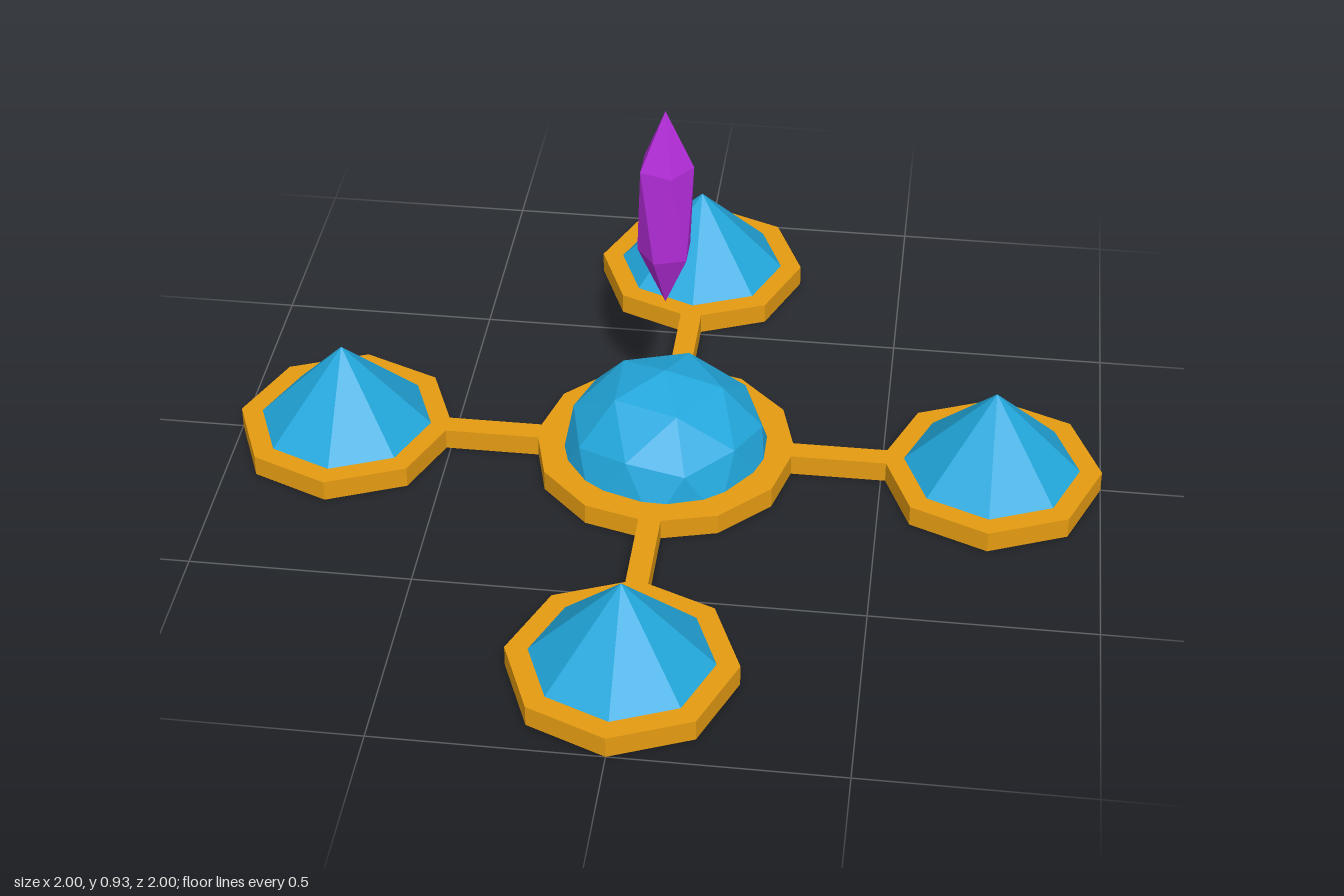
import * as THREE from 'three';

const flat = (color) => new THREE.MeshStandardMaterial({ color, flatShading: true });

// Icosahedron turned so that one corner points straight up
function uprightIco(radius, detail) {
  const geo = new THREE.IcosahedronGeometry(radius, detail);
  return geo.rotateZ(-Math.atan(2 / (1 + Math.sqrt(5))));
}

// Keep only the triangles above the equator
function upperHalf(geo) {
  const p = geo.attributes.position;
  const kept = [];
  for (let i = 0; i < p.count; i += 3) {
    if (p.getY(i) + p.getY(i + 1) + p.getY(i + 2) < 0.001) continue;
    for (let j = i; j < i + 3; j++) kept.push(p.getX(j), p.getY(j), p.getZ(j));
  }
  const half = new THREE.BufferGeometry();
  half.setAttribute('position', new THREE.Float32BufferAttribute(kept, 3));
  half.computeVertexNormals();
  return half;
}

export function createModel() {
  const model = new THREE.Group();
  const gold = flat(0xe69c12);
  const blue = flat(0x22a7dc);
  const purple = flat(0xb52ddb);

  function add(parent, name, geo, mat, x = 0, y = 0, z = 0) {
    const mesh = new THREE.Mesh(geo, mat);
    mesh.name = name;
    mesh.position.set(x, y, z);
    parent.add(mesh);
    return mesh;
  }

  // Central platform with its faceted dome
  const thick = 0.05;
  add(model, 'centralBase', new THREE.CylinderGeometry(0.3, 0.3, thick, 12), gold, 0, thick / 2, 0);
  add(model, 'dome', upperHalf(uprightIco(0.25, 1)), blue);

  // Floating crystal: a stretched icosahedron
  const crystal = uprightIco(1, 0).scale(0.07, 0.247, 0.07);
  add(model, 'crystal', crystal, purple, 0, 0.687, 0);

  // Four arms, each with an octagonal pad and a pointed roof
  const padGeo = new THREE.CylinderGeometry(0.25, 0.25, thick, 8);
  const roofGeo = new THREE.ConeGeometry(0.2, 0.2, 8, 1, true);
  const beamGeo = new THREE.BoxGeometry(0.05, thick, 0.25);
  ['front', 'left', 'back', 'right'].forEach((side, i) => {
    const arm = new THREE.Group();
    arm.name = side + 'Arm';
    arm.rotation.y = (i * Math.PI) / 2;
    // The back pad is gold underneath, the others blue
    const under = side === 'back' ? gold : blue;
    add(arm, 'pad', padGeo, [gold, gold, under], 0, thick / 2, 0.75);
    add(arm, 'roof', roofGeo, blue, 0, thick + 0.1, 0.75);
    add(arm, 'beam', beamGeo, gold, 0, thick / 2, 0.395);
    model.add(arm);
  });

  return model;
}
